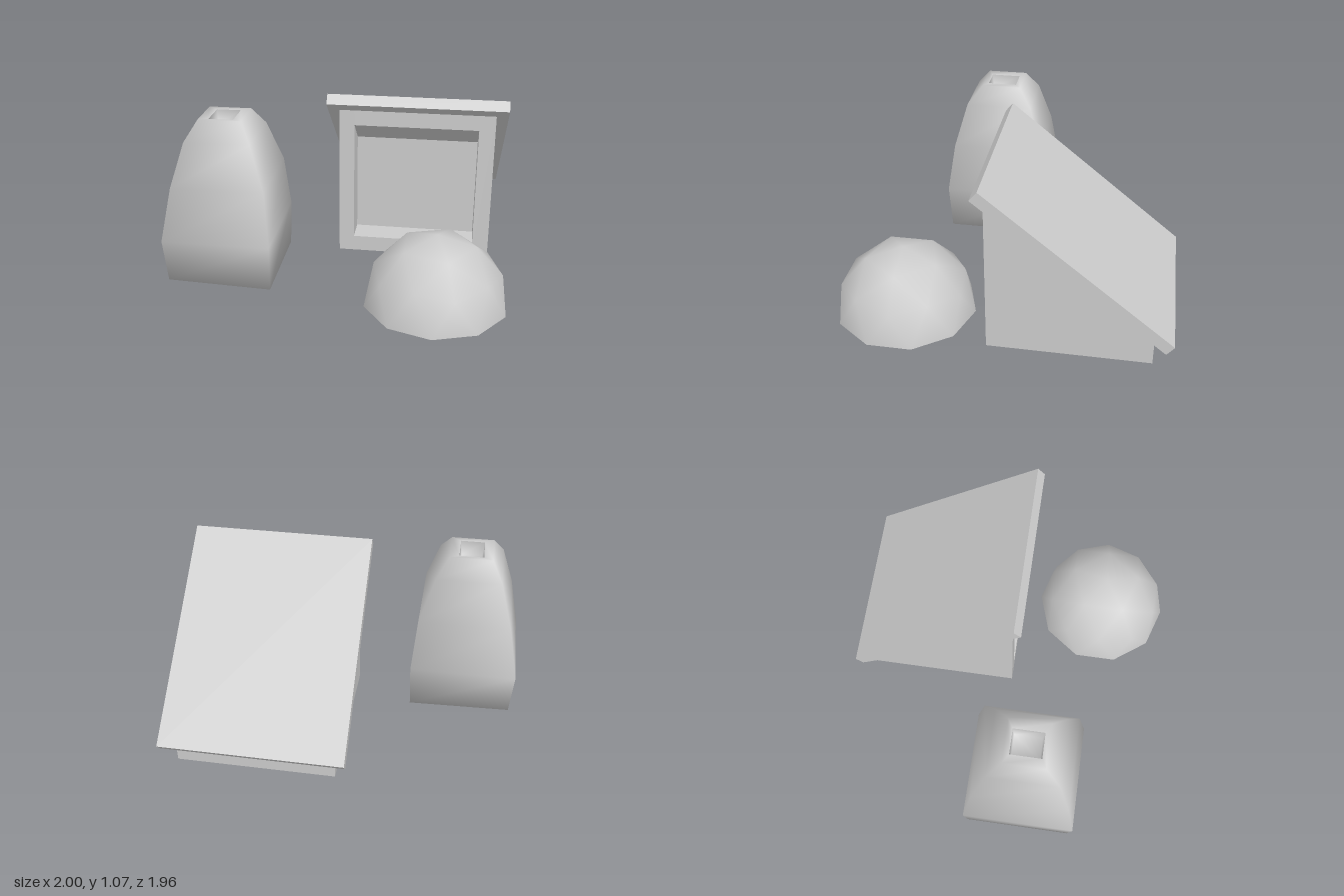
import * as THREE from 'three';
import { mergeVertices } from 'three/addons/utils/BufferGeometryUtils.js';

const grey = new THREE.MeshStandardMaterial({ color: 0xcccccc });
grey.name = 'plain grey';
grey.side = THREE.DoubleSide;

function part(name, geometry) {
  const mesh = new THREE.Mesh(geometry, grey);
  mesh.name = name;
  return mesh;
}

// Side profile given as [z, y] points, extruded from x0 to x1
function sideExtrude(name, points, x0, x1) {
  const shape = new THREE.Shape(points.map(([z, y]) => new THREE.Vector2(z, y)));
  const g = new THREE.ExtrudeGeometry(shape, { depth: x1 - x0, bevelEnabled: false });
  g.rotateY(-Math.PI / 2).translate(x1, 0, 0);
  return part(name, g);
}

// Four-sided rings [x0, x1, z0, z1, yLeft, yRight] skinned into a smooth surface
function skin(rings, capStart, capEnd) {
  const pos = [], index = [];
  for (const [x0, x1, z0, z1, ya, yb = ya] of rings) {
    pos.push(x0, ya, z1, x1, yb, z1, x1, yb, z0, x0, ya, z0);
  }
  for (let r = 0; r < rings.length - 1; r++) {
    for (let i = 0; i < 4; i++) {
      const a = r * 4 + i, b = r * 4 + (i + 1) % 4;
      index.push(a, b, b + 4, a, b + 4, a + 4);
    }
  }
  const e = (rings.length - 1) * 4;
  if (capStart) index.push(0, 2, 1, 0, 3, 2);
  if (capEnd) index.push(e, e + 1, e + 2, e, e + 2, e + 3);
  const g = new THREE.BufferGeometry();
  g.setAttribute('position', new THREE.Float32BufferAttribute(pos, 3));
  g.setIndex(index);
  g.computeVertexNormals();
  return g;
}

// Upper half of a once-subdivided icosahedron with a vertex at the top
function domeGeometry(radius) {
  const ball = new THREE.IcosahedronGeometry(radius, 1);
  ball.rotateZ(-Math.atan(2 / (1 + Math.sqrt(5))));
  const p = ball.getAttribute('position').array, keep = [];
  for (let i = 0; i < p.length; i += 9) {
    if (p[i + 1] + p[i + 4] + p[i + 7] > 0.01) keep.push(...p.slice(i, i + 9));
  }
  let g = new THREE.BufferGeometry();
  g.setAttribute('position', new THREE.Float32BufferAttribute(keep, 3));
  g = mergeVertices(g, 1e-4);
  g.computeVertexNormals();
  return g;
}

export function createModel() {
  const model = new THREE.Group();
  model.name = 'shelterSet';

  // Lean-to shelter: two full side slabs and a notched middle forming the recess
  const shelter = new THREE.Group();
  shelter.name = 'shelter';
  const bottom = 0.05, front = 0.035, back = -0.88;
  const outer = [[front, bottom], [front, 0.972], [back, 0.228], [back, bottom]];
  const notched = [
    [front, bottom], [front, 0.145], [-0.13, 0.145], [-0.13, 0.75],
    [front, 0.88], [front, 0.972], [back, 0.228], [back, bottom],
  ];
  shelter.add(
    sideExtrude('rightWall', outer, -0.02, 0.07),
    sideExtrude('recessedMiddle', notched, 0.07, 0.805),
    sideExtrude('leftWall', outer, 0.805, 0.9),
    sideExtrude('roof', [[0.09, 1.02], [0.048, 1.072], [-0.985, 0.232], [-0.943, 0.18]], -0.09, 0.97),
  );
  model.add(shelter);

  // Open-bottomed dome
  const dome = part('dome', domeGeometry(0.4125));
  dome.position.set(0.603, 0.042, 0.567);
  model.add(dome);

  // Tapered square jar with a small opening
  const jar = new THREE.Group();
  jar.name = 'jar';
  const mouth = [-0.745, -0.6, 0.115, 0.295, 0.968];
  jar.add(part('jarBody', skin([
    [-0.98, -0.365, -0.115, 0.518, 0.02, 0.0],
    [-1.0, -0.36, -0.13, 0.537, 0.28],
    [-0.94, -0.39, -0.08, 0.487, 0.6],
    [-0.865, -0.475, 0.0, 0.415, 0.86],
    [-0.8, -0.545, 0.08, 0.325, 0.972],
    mouth,
  ], true, false)));
  jar.add(part('jarMouth', skin([mouth, [-0.735, -0.61, 0.125, 0.285, 0.88]], false, true)));
  model.add(jar);

  return model;
}
